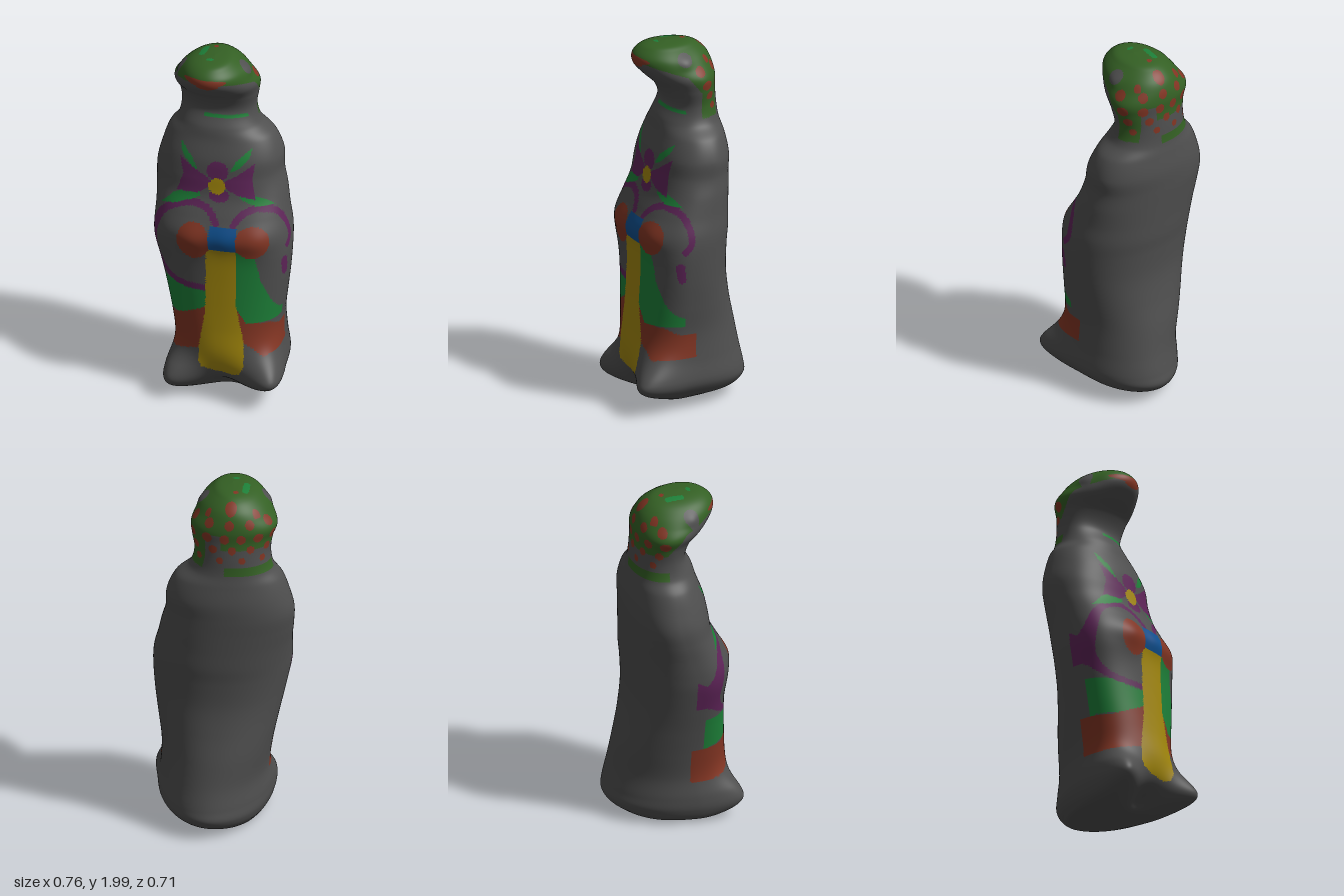
import * as THREE from 'three';

const mat = (name, color) => Object.assign(new THREE.MeshStandardMaterial({ color }), { name });
const M = {
  grey: mat('grey', 0x4f4f4f),
  hood: mat('dark green', 0x346024),
  leaf: mat('bright green', 0x1d7f38),
  red: mat('brick red', 0x823523),
  yellow: mat('yellow', 0xa2870b),
  blue: mat('blue', 0x0e4f8e),
  purple: mat('purple', 0x5e2458),
};

// Cross-sections: y, xMin, xMax, zFront, zBack
const LEVELS = [
  [0.03, 0.025, 0.025, 0.06, 0.06],
  [0.026, -0.14, 0.2, 0.12, -0.15],
  [0.05, -0.22, 0.27, 0.18, -0.28],
  [0.11, -0.255, 0.32, 0.25, -0.34],
  [0.18, -0.26, 0.34, 0.285, -0.335],
  [0.3, -0.25, 0.33, 0.3, -0.31],
  [0.45, -0.27, 0.327, 0.295, -0.285],
  [0.6, -0.3, 0.345, 0.285, -0.255],
  [0.75, -0.333, 0.363, 0.276, -0.236],
  [0.9, -0.36, 0.373, 0.27, -0.24],
  [1, -0.368, 0.368, 0.27, -0.25],
  [1.1, -0.375, 0.345, 0.235, -0.255],
  [1.2, -0.385, 0.325, 0.187, -0.26],
  [1.3, -0.388, 0.3, 0.167, -0.265],
  [1.4, -0.365, 0.295, 0.15, -0.265],
  [1.5, -0.33, 0.25, 0.115, -0.25],
  [1.57, -0.28, 0.172, 0.095, -0.237],
  [1.66, -0.264, 0.146, 0.055, -0.23],
  [1.75, -0.275, 0.158, 0.09, -0.222],
  [1.82, -0.298, 0.165, 0.16, -0.222],
  [1.88, -0.268, 0.135, 0.213, -0.21],
  [1.93, -0.235, 0.105, 0.222, -0.185],
  [1.97, -0.19, 0.06, 0.19, -0.14],
  [1.992, -0.13, 0.02, 0.14, -0.08],
  [2, -0.055, -0.055, 0.04, 0.04],
];

// Soft swellings and one hollow between the feet: x, y, z, radius, height
const BUMPS = [
  [-0.12, 0.975, 0.25, 0.09, 0.025], [0.20, 0.985, 0.23, 0.09, 0.02], [0.05, 0.99, 0.27, 0.08, 0.015],
  [-0.29, 0.95, 0.20, 0.14, 0.025], [-0.23, 1.90, 0.045, 0.04, 0.012], [0.10, 1.91, 0, 0.04, 0.012],
  [0.05, 0.3, 0.3, 0.12, 0.012], [0.05, 0.06, 0.24, 0.09, -0.06],
];
// Feet drawn out of the base: x, y, z, radius, push along x, push along z
const FEET = [[-0.2, 0.12, 0.2, 0.13, -0.05, 0.135], [0.27, 0.16, 0.2, 0.13, 0.06, 0.14]];

function catmull(a, b, c, d, t) {
  return b + 0.5 * t * (c - a + t * (2 * a - 5 * b + 4 * c - d + t * (3 * (b - c) + d - a)));
}
function section(t) {
  const n = LEVELS.length - 1, i = Math.min(Math.floor(t), n - 1);
  const row = (k) => LEVELS[Math.max(0, Math.min(n, k))];
  return row(0).map((_, k) => catmull(row(i - 1)[k], row(i)[k], row(i + 1)[k], row(i + 2)[k], t - i));
}
function surfacePoint(t, angle) {
  const [y, x0, x1, zF, zB] = section(t);
  const step = THREE.MathUtils.smoothstep;
  const sin = Math.sin(angle), cos = Math.cos(angle), low = 1 - step(y, 0.1, 0.6);
  let power = 0.83 + 0.17 * step(y, 1.3, 1.75); // boxy front, rounder back
  if (cos < 0) power = Math.max(power, 0.94) + 0.1 * low;
  const mid = 0.06 - 0.13 * step(y, 0.85, 1.4) + 0.11 * step(y, 1.78, 2); // depth of the widest point
  const bend = (v) => Math.sign(v) * Math.pow(Math.abs(v), power);
  const u = bend(sin), w = bend(cos);
  const p = new THREE.Vector3((x0 + x1) / 2 + (x1 - x0) / 2 * u, y, mid + w * (w > 0 ? zF - mid : mid - zB));
  p.x += 0.04 * low * step(y, 0.03, 0.06) * Math.max(0, -w); // tail of the base sits off centre
  const fall = (x, by, z, r) => Math.exp(-((p.x - x) ** 2 + (p.y - by) ** 2 + (p.z - z) ** 2) / (r * r));
  const q = p.clone();
  for (const [x, by, z, r, h] of BUMPS) {
    const g = h * fall(x, by, z, r);
    q.x += sin * g;
    q.z += cos * g;
  }
  for (const [x, by, z, r, dx, dz] of FEET) {
    const g = fall(x, by, z, r);
    q.x += dx * g;
    q.z += dz * g;
  }
  q.y += Math.max(0, 1 - y / 0.2) * 0.12 * p.x; // slanted base
  return q;
}

// Flat region tests
const oval = (a, b, ca, cb, ra, rb = ra) => ((a - ca) / ra) ** 2 + ((b - cb) / rb) ** 2 < 1;
function poly(x, y, pts) {
  let inside = false;
  for (let i = 0, j = pts.length - 1; i < pts.length; j = i++) {
    const [ax, ay] = pts[i], [bx, by] = pts[j];
    if ((ay > y) !== (by > y) && x < (bx - ax) * (y - ay) / (by - ay) + ax) inside = !inside;
  }
  return inside;
}
function stroke(x, y, width, pts) {
  return pts.slice(1).some(([bx, by], i) => {
    const [ax, ay] = pts[i], dx = bx - ax, dy = by - ay;
    const s = THREE.MathUtils.clamp(((x - ax) * dx + (y - ay) * dy) / (dx * dx + dy * dy), 0, 1);
    return Math.hypot(x - ax - s * dx, y - ay - s * dy) < width / 2;
  });
}
const smooth = (pts) => new THREE.SplineCurve(pts.map(([x, y]) => new THREE.Vector2(x, y)))
  .getPoints(24).map((p) => [p.x, p.y]);

const RIGHT_RING = smooth([[0, 1.08], [-0.05, 1.145], [-0.15, 1.165], [-0.28, 1.11], [-0.345, 1.0],
  [-0.35, 0.86], [-0.30, 0.75], [-0.2, 0.695], [-0.04, 0.69]]);
const LEFT_RING = smooth([[0.1, 1.08], [0.14, 1.13], [0.21, 1.16], [0.27, 1.155]]);
const SIDE_RING = smooth([[0.17, 1.16], [0.11, 1.13], [0.08, 1.05], [0.08, 0.98], [0.115, 0.935]]);
const LEAVES = [
  [[-0.23, 1.485], [-0.22, 1.43], [-0.16, 1.36], [-0.12, 1.345], [-0.15, 1.4]],
  [[0.165, 1.485], [0.155, 1.43], [0.1, 1.37], [0.055, 1.35], [0.085, 1.41]],
  [[-0.32, 1.12], [-0.24, 1.14], [-0.1, 1.2], [-0.1, 1.235], [-0.17, 1.23], [-0.25, 1.19]],
  [[0.095, 1.24], [0.16, 1.235], [0.25, 1.2], [0.3, 1.165], [0.2, 1.17], [0.13, 1.2]],
];

// Spots on the hood: crown spots as x, z, radius; rows round the back as y, count, first and last angle, radius
const CROWN_SPOTS = [[-0.19, -0.15, 0.022], [-0.055, -0.165, 0.032], [-0.075, -0.065, 0.015], [0.07, -0.14, 0.019]];
const SPOTS = [];
for (const [y, n, a0, a1, r] of [[1.865, 5, 100, 245, 0.027], [1.785, 6, 108, 250, 0.027],
  [1.72, 5, 115, 240, 0.023], [1.66, 4, 122, 230, 0.019]])
  for (let i = 0; i < n; i++) SPOTS.push([THREE.MathUtils.degToRad(a0 + (a1 - a0) * i / (n - 1)), y, r]);

function paintHead({ x, y, z }) {
  if (z > 0.11 && (oval(x, y, -0.075, 1.92, 0.118, 0.02) || oval(x, y, -0.055, 1.902, 0.06, 0.021))) return 'mouth';
  if (oval(x, z, -0.24, 0.045, 0.03, 0.042) || (x > 0 && oval(z, y, 0, 1.93, 0.042, 0.032))) return 'eyes';
  if (y > 1.95 && (stroke(x, z, 0.036, [[-0.125, -0.045], [-0.13, 0.025]]) || oval(x, z, -0.07, 0.088, 0.02, 0.012)))
    return 'crownMark';
  if (z > 0 && x > -0.11 && x < 0.14 && Math.abs(y - 1.637) < 0.009) return 'collar';
  const angle = (Math.atan2(x + 0.07, z + 0.04) + 2 * Math.PI) % (2 * Math.PI);
  if (SPOTS.some(([a, sy, r]) => oval((angle - a) * 0.19, y, 0, sy, r)) ||
    (y > 1.89 && CROWN_SPOTS.some(([sx, sz, r]) => oval(x, z, sx, sz, r)))) return 'hoodSpots';
  const edge = z > 0 ? 1.845 + 0.32 * z : z > -0.1 ? 1.845 + 1.25 * z : 1.72;
  const sideFlap = x > 0.03 && z < -0.08 && z > -0.185 && y > 1.6;
  const backCorner = x > 0.0 && z < -0.185 && y < 1.8;
  const band = y < 1.62 && z < -0.09 && x < -0.02;
  return sideFlap || band || (y > edge && !backCorner) ? 'hood' : 'body';
}

function paintFront({ x, y, z }) {
  if (oval(x, y, -0.01, 1.265, 0.046)) return 'flowerCentre';
  if (poly(x, y, [[-0.02, 1.28], [-0.1, 1.33], [-0.225, 1.4], [-0.2, 1.31], [-0.235, 1.21], [-0.12, 1.215]]) ||
    poly(x, y, [[0, 1.28], [0.09, 1.33], [0.185, 1.4], [0.175, 1.3], [0.2, 1.2], [0.1, 1.225]]) ||
    oval(x, y, -0.01, 1.35, 0.058, 0.055) || oval(x, y, 0.005, 1.215, 0.055, 0.035)) return 'flowerPetals';
  if (LEAVES.some((leaf) => poly(x, y, leaf))) return 'leaves';
  if (x > -0.03 && x < 0.12 && y > 0.93 && y < 1.065) return 'bowKnot';
  if (oval(x, y, -0.115, 0.97, 0.092, 0.105) || oval(x, y, 0.2, 0.985, 0.092, 0.09)) return 'bowLoops';
  if (poly(x, y, [[-0.045, 0.94], [0.12, 0.94], [0.125, 0.6], [0.17, 0.38], [0.175, 0.25], [0.15, 0.2], [0.11, 0.185],
    [0, 0.2], [-0.06, 0.215], [-0.08, 0.25], [-0.075, 0.35], [-0.045, 0.55]])) return 'sash';
  if (stroke(x, y, 0.036, RIGHT_RING) || stroke(x, y, 0.036, LEFT_RING) || (x > 0.22 &&
    (stroke(z, y, 0.036, SIDE_RING) || stroke(z, y, 0.045, [[0.14, 0.85], [0.13, 0.78]])))) return 'armTrim';
  if (z > 0.1 && (poly(x, y, [[-0.34, 0.69], [-0.04, 0.69], [-0.04, 0.58], [-0.2, 0.5], [-0.34, 0.48]]) ||
    poly(x, y, [[0.12, 0.94], [0.21, 0.94], [0.25, 0.75], [0.31, 0.6], [0.36, 0.5], [0.18, 0.5], [0.12, 0.59]])))
    return 'skirt';
  if (poly(x, y, [[-0.34, 0.48], [-0.22, 0.49], [-0.04, 0.59], [-0.07, 0.33], [-0.34, 0.25]]) ||
    poly(x, y, [[0.12, 0.59], [0.18, 0.5], [0.29, 0.49], [0.325, 0.45], [0.36, 0.42], [0.36, 0.32], [0.27, 0.31],
      [0.15, 0.4]])) return 'hem';
  return 'body';
}

const PARTS = {
  body: 'grey', eyes: 'grey', hood: 'hood', hoodSpots: 'red', mouth: 'red', crownMark: 'leaf', collar: 'leaf',
  flowerCentre: 'yellow', flowerPetals: 'purple', leaves: 'leaf', bowKnot: 'blue', bowLoops: 'red',
  sash: 'yellow', armTrim: 'purple', skirt: 'leaf', hem: 'red',
};

export function createModel() {
  const group = new THREE.Group();
  const ROWS = 300, COLS = 230, pts = [], index = [], faces = {};
  for (let r = 0; r <= ROWS; r++) for (let c = 0; c < COLS; c++)
    pts.push(surfacePoint(r / ROWS * (LEVELS.length - 1), c / COLS * 2 * Math.PI));
  // Sort every face of the moulded skin into its painted part
  const centre = new THREE.Vector3();
  const add = (a, b, c) => {
    centre.copy(pts[a]).add(pts[b]).add(pts[c]).divideScalar(3);
    const part = centre.y > 1.57 ? paintHead(centre) : centre.z > 0.035 ? paintFront(centre) : 'body';
    (faces[part] ??= []).push(a, b, c);
    index.push(a, b, c);
  };
  for (let r = 0; r < ROWS; r++) for (let c = 0; c < COLS; c++) {
    const a = r * COLS + c, b = r * COLS + (c + 1) % COLS;
    add(a, b, b + COLS);
    add(a, b + COLS, a + COLS);
  }
  const skin = new THREE.BufferGeometry().setFromPoints(pts);
  skin.setIndex(index);
  skin.computeVertexNormals();
  for (const [name, list] of Object.entries(faces)) {
    const geo = new THREE.BufferGeometry();
    geo.setAttribute('position', skin.attributes.position);
    geo.setAttribute('normal', skin.attributes.normal);
    geo.setIndex(list);
    const mesh = new THREE.Mesh(geo, M[PARTS[name]]);
    mesh.name = name;
    group.add(mesh);
  }
  return group;
}
